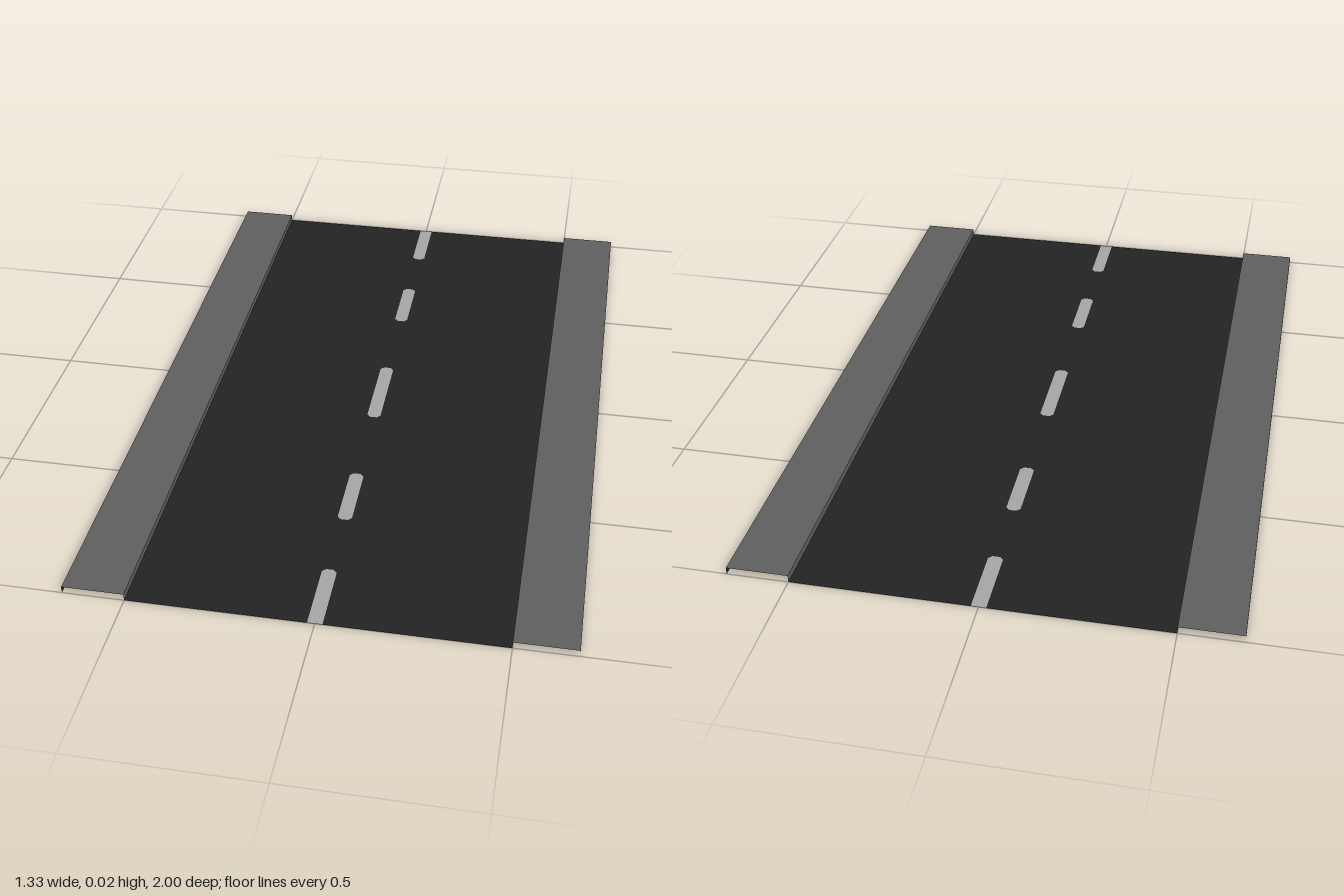
import * as THREE from 'three';

const HALF_ROAD = 0.5, HALF_WIDTH = 0.667, HALF_LENGTH = 1, KERB = 0.02;

const flat = (name, color) => {
  const m = new THREE.MeshStandardMaterial({ color, side: THREE.DoubleSide });
  m.name = name;
  return m;
};

export function createModel() {
  const asphalt = flat('asphalt', 0x232323);
  const pavement = flat('pavement grey', 0x5f5f5f);
  const paint = flat('line paint', 0xa6a6a6);

  const model = new THREE.Group();
  model.name = 'roadSection';

  const add = (name, geometry, material) => {
    const mesh = new THREE.Mesh(geometry, material);
    mesh.name = name;
    model.add(mesh);
    return mesh;
  };

  // Dash outline in the road plane; ends inside the section are clipped at the corners
  const dashPoints = (z0, z1) => {
    const w = 0.02, c = 0.01;
    const a = z0 <= -HALF_LENGTH ? 0 : c;
    const b = z1 >= HALF_LENGTH ? 0 : c;
    const points = [[-w + a, z0], [w - a, z0]];
    if (a) points.push([w, z0 + a]);
    if (b) points.push([w, z1 - b]);
    points.push([w - b, z1], [-w + b, z1]);
    if (b) points.push([-w, z1 - b]);
    if (a) points.push([-w, z0 + a]);
    return points.map(([x, z]) => new THREE.Vector2(x, -z));
  };

  // Flat sheet facing up
  const sheet = (shape) => new THREE.ShapeGeometry(shape).rotateX(-Math.PI / 2);

  // Centre line dashes, set flush into the road surface
  const inner = [[-0.6, -0.4], [-0.13, 0.13], [0.4, 0.6]].map(([a, b]) => dashPoints(a, b));
  const ends = [dashPoints(-1, -0.8), dashPoints(0.8, 1)];
  for (const points of [...inner, ...ends]) {
    add('centreDash', sheet(new THREE.Shape(points)), paint);
  }

  // Road surface, notched at both ends and pierced where the dashes sit
  const [back, front] = ends;
  const notch = (points, isFront) => {
    const sorted = isFront
      ? [points[5], points[4], points[3], points[2], points[1], points[0]]
      : points;
    // Start at the section edge, go round the dash and return to the edge
    return isFront
      ? [sorted[2], sorted[3], sorted[4], sorted[5], sorted[0], sorted[1]]
      : [points[1], points[2], points[3], points[4], points[5], points[0]];
  };
  const corner = (x, z) => new THREE.Vector2(x, -z);
  const road = new THREE.Shape([
    corner(-HALF_ROAD, -HALF_LENGTH), ...notch(back, false).reverse(), corner(HALF_ROAD, -HALF_LENGTH),
    corner(HALF_ROAD, HALF_LENGTH), ...notch(front, true), corner(-HALF_ROAD, HALF_LENGTH),
  ]);
  road.holes = inner.map((points) => new THREE.Path(points));
  add('roadSurface', sheet(road), asphalt);

  // Raised pavements with a kerb towards the road and a dark outer edge
  for (const side of [-1, 1]) {
    const top = add('pavementTop',
      new THREE.PlaneGeometry(HALF_WIDTH - HALF_ROAD, 2 * HALF_LENGTH).rotateX(-Math.PI / 2), pavement);
    top.position.set(side * (HALF_ROAD + HALF_WIDTH) / 2, KERB, 0);

    const wall = (name, x, facing, material) => {
      const mesh = add(name,
        new THREE.PlaneGeometry(2 * HALF_LENGTH, KERB).rotateY(facing * Math.PI / 2), material);
      mesh.position.set(x, KERB / 2, 0);
    };
    wall('kerb', side * HALF_ROAD, -side, pavement);
    wall('outerEdge', side * HALF_WIDTH, side, asphalt);
  }
  return model;
}
